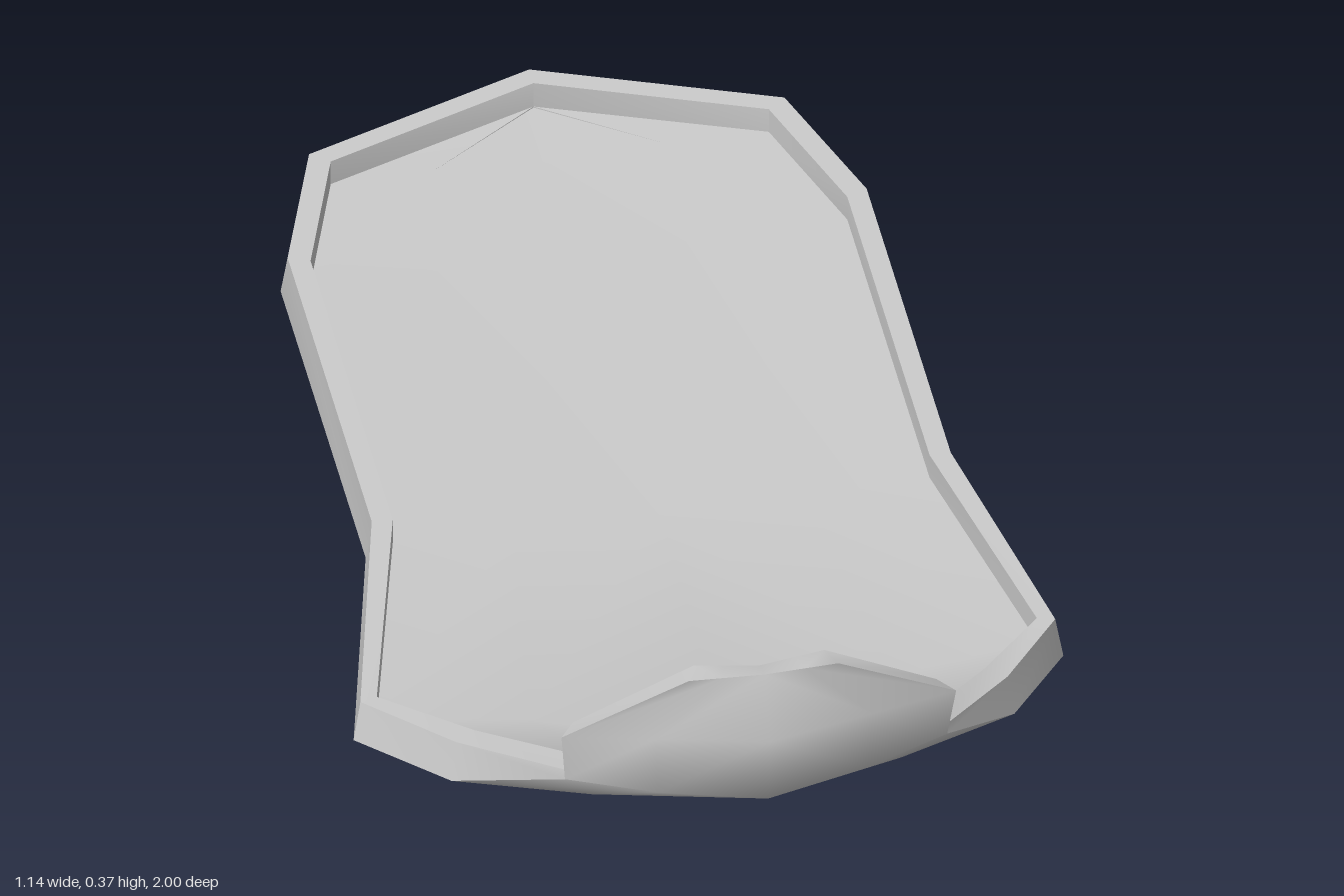
import * as THREE from 'three';
import { toCreasedNormals } from 'three/addons/utils/BufferGeometryUtils.js';

// Cross-sections from tail to upturned nose.
// C: underside centre [y,z], E: lower outer edge, h: rim height, inset: rim to inner rim,
// drop: inner rim to floor, c: floor centre [y,z], bulge: lift of the points between
// centre and edge [y,z], skew: sideways shift
const sections = [
  { C: [0.028, -1], E: [0, 0.028, -1], inset: [0, 0.036], c: [0.049, -0.954] },
  { C: [0.02, -0.85], E: [0.39, 0.026, -0.853], inset: [0.03, 0.025], c: [0.045, -0.82] },
  { C: [0.014, -0.6], E: [0.475, 0.022, -0.6], inset: [0.034, 0.015], c: [0.04, -0.58], bulge: [-0.004, 0] },
  { C: [0, 0.1], E: [0.475, 0.022, 0.1], inset: [0.034, 0], c: [0.037, 0.1], bulge: [-0.004, 0] },
  { C: [0.01, 0.66], E: [0.57, 0.02, 0.555], inset: [0.028, -0.008], c: [0.042, 0.715], bulge: [-0.005, -0.04], skew: 0 },
  { C: [0.05, 0.84], E: [0.452, 0.022, 0.69], inset: [0.034, -0.025], drop: 0.032, c: [0.088, 0.813], bulge: [0.016, 0.045] },
  { C: [0.14, 0.98], E: [0.307, 0.148, 0.88], h: 0.017, inset: [0.025, -0.035], drop: 0.008, c: [0.168, 0.905], bulge: [0, 0.012] },
  { C: [0.268, 1], E: [0.317, 0.25, 0.903], h: 0, inset: [0.025, -0.035], drop: 0, c: [0.26, 0.94] },
  { C: [0.366, 0.952], E: [0.12, 0.363, 0.942], h: 0, inset: [0.015, -0.038], drop: 0, c: [0.354, 0.912] },
];

// Half section from underside centre, round the inward-leaning rim, to floor centre
function halfSection({ C, E, h = 0.07, inset, drop = 0.045, c, bulge = [0, 0], skew = 0.013 }, side) {
  const low = new THREE.Vector3(...E);
  const rim = new THREE.Vector3(low.x * (1 - 0.3 * h), low.y + h, low.z * (1 - 0.15 * h));
  const inner = new THREE.Vector3(rim.x - inset[0], rim.y, rim.z + inset[1]);
  const floor = inner.clone().setY(inner.y - drop);
  const under = new THREE.Vector3(0, ...C), top = new THREE.Vector3(0, ...c);
  const lift = new THREE.Vector3(0, ...bulge);
  const mid = under.clone().lerp(low, 0.55).add(lift);
  const midTop = top.clone().lerp(floor, 0.55).add(lift);
  const points = [under, mid, low, rim, inner, floor, midTop, top];
  points.forEach((p) => p.setX(p.x * side + skew));
  return points;
}

function shellGeometry() {
  const positions = [];
  const triangle = (a, b, c, flip) => {
    if (a.distanceTo(b) < 1e-5 || b.distanceTo(c) < 1e-5 || a.distanceTo(c) < 1e-5) return;
    for (const p of flip ? [a, c, b] : [a, b, c]) positions.push(p.x, p.y, p.z);
  };
  for (const side of [1, -1]) {
    const flip = side < 0;
    const rows = sections.map((s) => halfSection(s, side));
    for (let i = 0; i < rows.length - 1; i++) {
      for (let k = 0; k < rows[i].length - 1; k++) {
        const a = rows[i][k], b = rows[i][k + 1], d = rows[i + 1][k], e = rows[i + 1][k + 1];
        triangle(a, b, d, flip);
        triangle(b, e, d, flip);
      }
    }
    // Top edge of the nose
    const [C, Q, E, , , F, q, c] = rows[rows.length - 1];
    triangle(C, Q, q, flip);
    triangle(C, q, c, flip);
    triangle(Q, E, F, flip);
    triangle(Q, F, q, flip);
  }
  const geometry = new THREE.BufferGeometry();
  geometry.setAttribute('position', new THREE.Float32BufferAttribute(positions, 3));
  return toCreasedNormals(geometry, THREE.MathUtils.degToRad(50));
}

export function createModel() {
  const group = new THREE.Group();
  const material = new THREE.MeshStandardMaterial({ color: 0xcccccc, side: THREE.DoubleSide });
  const shell = new THREE.Mesh(shellGeometry(), material);
  shell.name = 'trayWithUpturnedNose';
  group.add(shell);
  return group;
}
